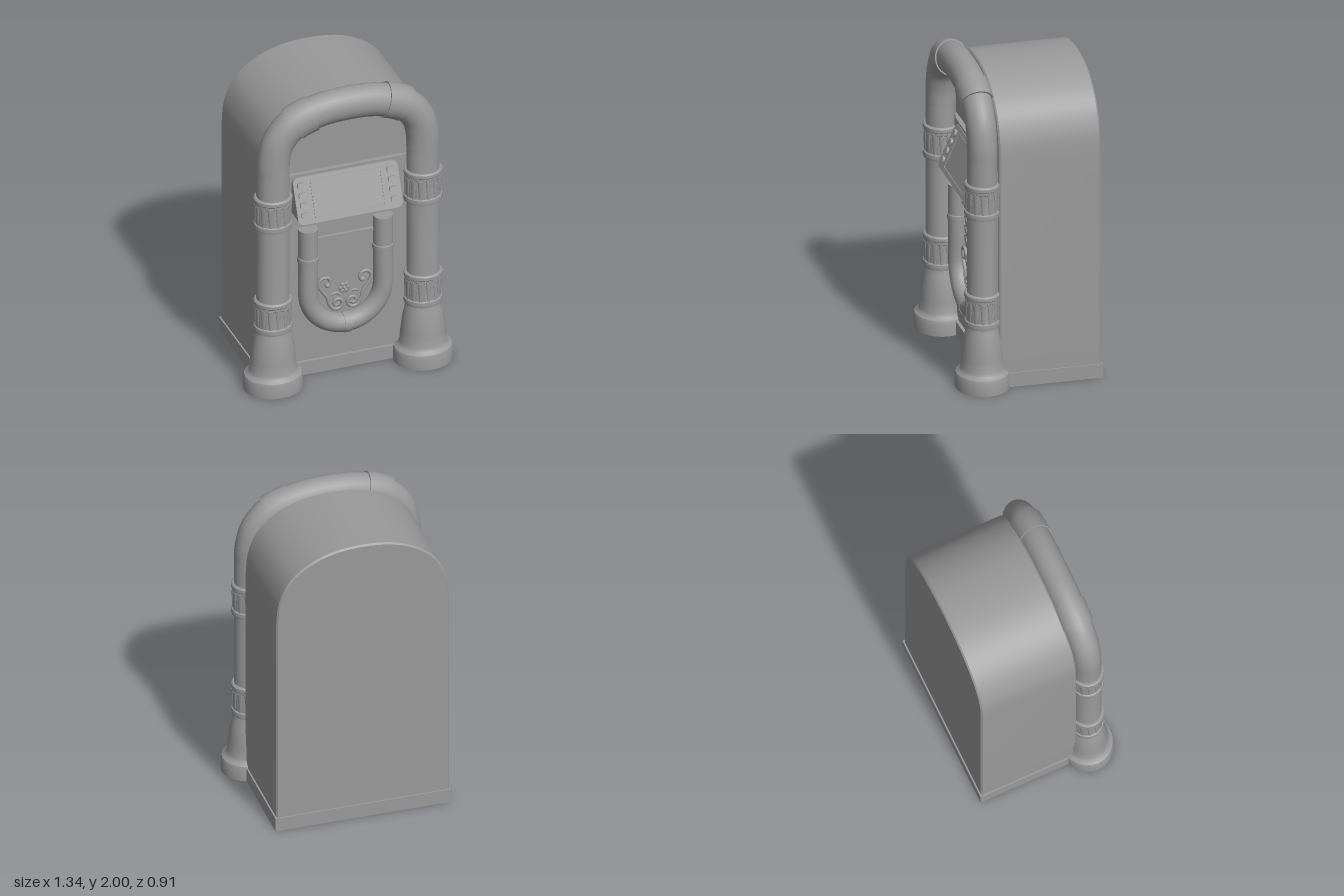
import * as THREE from 'three';
import { mergeGeometries, toCreasedNormals } from 'three/addons/utils/BufferGeometryUtils.js';

const V = (x, y, z = 0) => new THREE.Vector3(x, y, z);
const material = new THREE.MeshStandardMaterial({ color: 0x999999 });

function add(parent, name, geometry, x = 0, y = 0, z = 0) {
  const mesh = new THREE.Mesh(geometry, material);
  mesh.name = name;
  mesh.position.set(x, y, z);
  parent.add(mesh);
  return mesh;
}

// Round bar along a list of points, closed by flat discs
function bar(points, r, segments = 48, sides = 20) {
  const curve = new THREE.CatmullRomCurve3(points);
  const parts = [new THREE.TubeGeometry(curve, segments, r, sides)];
  for (const t of [0, 1]) {
    const out = curve.getTangent(t).multiplyScalar(t ? 1 : -1);
    const cap = new THREE.CircleGeometry(r, sides);
    cap.applyQuaternion(new THREE.Quaternion().setFromUnitVectors(V(0, 0, 1), out));
    const p = curve.getPoint(t);
    parts.push(cap.translate(p.x, p.y, p.z));
  }
  return mergeGeometries(parts);
}

function lathe(profile, sides = 24) {
  const pts = profile.map(([r, y]) => new THREE.Vector2(r, y));
  return toCreasedNormals(new THREE.LatheGeometry(pts, sides), 0.6);
}

function roundedRect(w, h, r) {
  const s = new THREE.Shape();
  s.absarc(w / 2 - r, h / 2 - r, r, 0, Math.PI / 2);
  s.absarc(-w / 2 + r, h / 2 - r, r, Math.PI / 2, Math.PI);
  s.absarc(-w / 2 + r, -h / 2 + r, r, Math.PI, Math.PI * 1.5);
  s.absarc(w / 2 - r, -h / 2 + r, r, Math.PI * 1.5, Math.PI * 2);
  return s;
}

function addCabinet(group) {
  // Arched case with a bevelled rim
  const right = [[0.55, 1.48], [0.535, 1.62], [0.475, 1.76], [0.36, 1.865], [0.2, 1.933]];
  const arch = [...right, [0, 1.955], ...right.map(([x, y]) => [-x, y]).reverse()];
  const shape = new THREE.Shape();
  shape.moveTo(-0.55, 0.02);
  shape.lineTo(0.55, 0.02);
  shape.lineTo(0.55, 1.48);
  shape.splineThru(arch.slice(1).map(([x, y]) => new THREE.Vector2(x, y)));
  shape.closePath();
  const body = new THREE.ExtrudeGeometry(shape, {
    depth: 0.62, curveSegments: 4, bevelSize: 0.01, bevelThickness: 0.01, bevelOffset: -0.01, bevelSegments: 1,
  });
  add(group, 'cabinet', toCreasedNormals(body, 0.4), 0, 0, -0.43);
  add(group, 'lowerFrontPanel', new THREE.BoxGeometry(1.04, 1.39, 0.06), 0, 0.715, 0.19);
  add(group, 'panelLedge', new THREE.BoxGeometry(0.76, 0.015, 0.06), 0, 1.405, 0.2);
  add(group, 'plinth', new THREE.BoxGeometry(1.12, 0.09, 0.69), 0, 0.045, -0.105);
}

// Slightly flattened columns with flared feet and fluted bands
function addColumns(group) {
  const column = [[0, 0], [0.185, 0], [0.185, 0.08], [0.179, 0.098], [0.157, 0.112], [0.147, 0.132],
    [0.142, 0.2], [0.131, 0.29], [0.118, 0.35], [0.113, 0.37], [0.107, 0.39], [0.103, 0.42], [0.103, 1.5]];
  const band = [[0.1, 0], [0.119, 0], [0.122, 0.015], [0.119, 0.035], [0.111, 0.04], [0.111, 0.165],
    [0.116, 0.17], [0.116, 0.185], [0.121, 0.19], [0.121, 0.21], [0.112, 0.218], [0.1, 0.218]];
  for (const side of [-1, 1]) {
    const col = new THREE.Group();
    col.name = side > 0 ? 'leftColumn' : 'rightColumn';
    col.position.set(side * 0.487, 0, 0.29);
    col.scale.z = 0.9;
    group.add(col);
    add(col, 'shaftAndFoot', lathe(column));
    for (const y of [0.405, 1.125]) {
      add(col, 'band', lathe(band), 0, y);
      const ribs = [];
      for (let i = 0; i < 14; i++) {
        const rib = new THREE.CylinderGeometry(0.02, 0.009, 0.13, 10);
        rib.scale(1, 1, 0.4).translate(0, 0, 0.11).rotateY(i * Math.PI / 7);
        ribs.push(rib);
      }
      add(col, 'bandFlutes', mergeGeometries(ribs), 0, y + 0.103);
    }
  }
}

// Bent tube over the top, with two stepped sleeves
function addArch(group) {
  const half = [[0.487, 1.48], [0.483, 1.59], [0.45, 1.713], [0.362, 1.815], [0.2, 1.877]];
  const pts = [...half.map(([x, y]) => V(x, y)), V(0, 1.895), ...half.map(([x, y]) => V(-x, y)).reverse()];
  const arch = new THREE.Group();
  arch.name = 'arch';
  arch.position.z = 0.29;
  arch.scale.z = 0.9;
  group.add(arch);
  add(arch, 'archTube', bar(pts, 0.103, 64, 24));
  const samples = new THREE.CatmullRomCurve3(pts).getSpacedPoints(120);
  add(arch, 'archCrown', bar(samples.filter(p => Math.abs(p.x) < 0.25), 0.106, 20, 24));
  for (const side of [-1, 1]) {
    const sleeve = samples.filter(p => p.x * side > 0.235 && p.x * side < 0.368);
    add(arch, 'archSleeve', bar(sleeve, 0.115, 12, 24));
  }
}

// Sloping selector panel: everything on it shares one shear
function addSelector(group) {
  const panel = new THREE.Group();
  panel.name = 'selectorPanel';
  panel.position.set(0, 1.258, 0.29);
  group.add(panel);
  const slope = g => {
    const p = g.attributes.position;
    for (let i = 0; i < p.count; i++) p.setZ(i, p.getZ(i) - p.getY(i) * 0.45);
    return toCreasedNormals(g, 0.5);
  };
  const slab = (w, h, r, d) => new THREE.ExtrudeGeometry(roundedRect(w, h, r), { depth: d, bevelEnabled: false, curveSegments: 6 });
  add(panel, 'panelBlock', slope(slab(0.68, 0.265, 0.035, 0.14).translate(0, 0, -0.14)));
  const frame = roundedRect(0.46, 0.22, 0.008);
  frame.holes.push(roundedRect(0.445, 0.205, 0.006));
  add(panel, 'titleFrame', slope(new THREE.ExtrudeGeometry(frame, { depth: 0.004, bevelEnabled: false })));
  for (const x of [-0.29, 0.29]) {
    for (let i = 0; i < 4; i++) {
      add(panel, 'button', slope(slab(0.052, 0.036, 0.015, 0.015).translate(x, 0.088 - i * 0.056, 0)));
    }
  }
}

// U-shaped tube around the speaker grille
function addGrille(group) {
  const pts = [V(-0.243, 1.032), V(-0.243, 0.9), V(-0.243, 0.75)];
  for (let i = 0; i <= 12; i++) {
    const a = Math.PI * (1 + i / 12);
    pts.push(V(Math.cos(a) * 0.243, 0.57 + Math.sin(a) * 0.243));
  }
  pts.push(V(0.243, 0.75), V(0.243, 0.9), V(0.243, 1.032));
  const grille = new THREE.Group();
  grille.name = 'speakerGrille';
  grille.position.z = 0.222;
  group.add(grille);
  add(grille, 'uTube', bar(pts, 0.061, 72, 24), 0, 0, 0.025);
  for (const x of [-0.243, 0.243]) {
    add(grille, 'uTubeCollar', lathe([[0.058, -0.022], [0.066, -0.018], [0.067, 0], [0.066, 0.016], [0.058, 0.02]]), x, 0.82, 0.025);
  }
  add(grille, 'uTubeClasp', bar([V(-0.02, 0.327), V(0, 0.327), V(0.02, 0.327)], 0.065, 4, 24), 0, 0, 0.025);
  add(grille, 'topRail', new THREE.BoxGeometry(0.38, 0.016, 0.03), 0, 0.938, 0.005);

  // Shallow diagonal lattice, trimmed to the inside of the U
  const inside = (x, y) => Math.abs(x) < 0.19 && y < 0.935 && (y > 0.57 || Math.hypot(x, y - 0.57) < 0.19);
  const strips = [];
  for (const dir of [-1, 1]) {
    for (let y0 = 0.26; y0 < 1.08; y0 += 0.065) {
      const run = [];
      for (let x = -0.19; x <= 0.19; x += 0.005) if (inside(x, y0 + dir * x * 0.8)) run.push(x);
      if (run.length < 4) continue;
      const a = run[0], b = run[run.length - 1], mid = (a + b) / 2;
      const strip = new THREE.BoxGeometry((b - a) * Math.hypot(1, 0.8), 0.007, 0.004);
      strips.push(strip.rotateZ(dir * Math.atan(0.8)).translate(mid, y0 + dir * mid * 0.8, 0));
    }
  }
  add(grille, 'lattice', mergeGeometries(strips));

  // Mirrored scrolls: hook at the top, spiral at the foot
  for (const side of [-1, 1]) {
    const scroll = [V(0.105, 0.595), V(0.095, 0.622), V(0.11, 0.648), V(0.14, 0.652), V(0.168, 0.63),
      V(0.165, 0.59), V(0.14, 0.55), V(0.115, 0.51), V(0.105, 0.47)];
    for (let i = 0; i <= 14; i++) {
      const a = -0.3 - i * 0.62, r = 0.046 - i * 0.0026;
      scroll.push(V(0.05 + Math.cos(a) * r, 0.462 + Math.sin(a) * r));
    }
    add(grille, 'scroll', bar(scroll.map(p => V(p.x * side, p.y)), 0.011, 90, 8), 0, 0, 0.014);
    const leaf = [V(0.03, 0.515), V(0.055, 0.532), V(0.085, 0.523)].map(p => V(p.x * side, p.y));
    add(grille, 'leaf', bar(leaf, 0.008, 10, 8), 0, 0, 0.008);
    add(grille, 'scrollTip', new THREE.SphereGeometry(0.018, 12, 8), side * 0.113, 0.598, 0.014);
  }
  // Rosette
  for (let i = 0; i < 6; i++) {
    const a = i * Math.PI / 3;
    const petal = add(grille, 'petal', new THREE.SphereGeometry(0.015, 10, 6), Math.cos(a) * 0.024, 0.555 + Math.sin(a) * 0.024, 0.002);
    petal.scale.z = 0.5;
  }
  add(grille, 'rosetteCentre', new THREE.SphereGeometry(0.012, 10, 8), 0, 0.555, 0.005);
}

export function createModel() {
  const group = new THREE.Group();
  group.name = 'musicCabinet';
  addCabinet(group);
  addColumns(group);
  addArch(group);
  addSelector(group);
  addGrille(group);
  return group;
}
